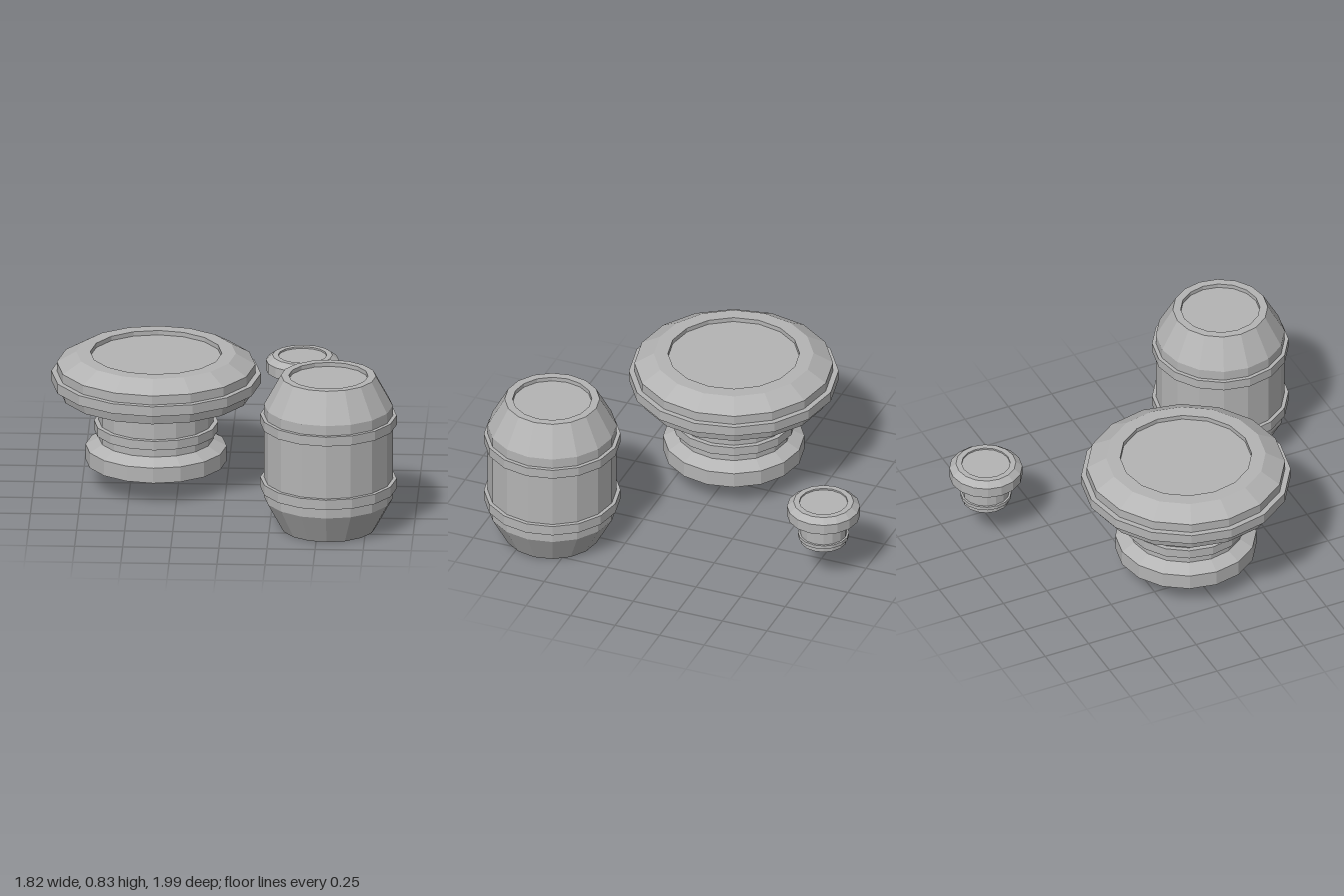
import * as THREE from 'three';

const SIDES = 16;

export function createModel() {
  const model = new THREE.Group();
  const grey = new THREE.MeshStandardMaterial({ color: 0xb4b4b4 });
  grey.name = 'grey';

  // Faceted solid of revolution from [radius, height] pairs, bottom to top
  function turned(name, profile) {
    const points = profile.map(([r, y]) => new THREE.Vector2(r, y));
    const geometry = new THREE.LatheGeometry(points, SIDES).toNonIndexed();
    geometry.computeVertexNormals();
    const mesh = new THREE.Mesh(geometry, grey);
    mesh.name = name;
    return mesh;
  }

  // Raised band around a body
  function band(name, inner, outer, y0, y1) {
    return turned(name, [[inner, y0], [outer, y0], [outer, y1], [inner, y1]]);
  }

  function place(name, x, z, parts) {
    const group = new THREE.Group();
    group.name = name;
    group.position.set(x, 0, z);
    group.add(...parts);
    model.add(group);
  }

  // Large pedestal table with a sunken top
  place('table', -0.367, -0.005, [
    turned('tableBody', [
      [0, 0.127], [0.367, 0.127], [0.367, 0.21], [0.298, 0.247],
      [0.298, 0.435], [0.5, 0.499], [0.516, 0.557], [0.516, 0.66],
      [0.415, 0.719], [0.342, 0.719], [0.342, 0.695], [0, 0.695],
    ]),
    band('tableNeckBand', 0.29, 0.323, 0.293, 0.342),
    band('tableRimBand', 0.49, 0.545, 0.557, 0.611),
  ]);

  // Barrel with sunken ends
  place('barrel', 0.555, 0.637, [
    turned('barrelBody', [
      [0, 0.022], [0.206, 0.022], [0.206, 0], [0.247, 0], [0.335, 0.161],
      [0.335, 0.67], [0.247, 0.831], [0.206, 0.831], [0.206, 0.809], [0, 0.809],
    ]),
    band('lowerHoop', 0.32, 0.355, 0.215, 0.269),
    band('upperHoop', 0.32, 0.355, 0.565, 0.616),
  ]);

  // Small stool with a sunken seat
  place('stool', 0.362, -0.807, [
    turned('stoolBody', [
      [0, 0.198], [0.122, 0.198], [0.122, 0.32], [0.19, 0.35],
      [0.19, 0.406], [0.156, 0.433], [0.126, 0.433], [0.126, 0.424], [0, 0.424],
    ]),
    band('stoolBand', 0.115, 0.133, 0.224, 0.243),
  ]);

  return model;
}
